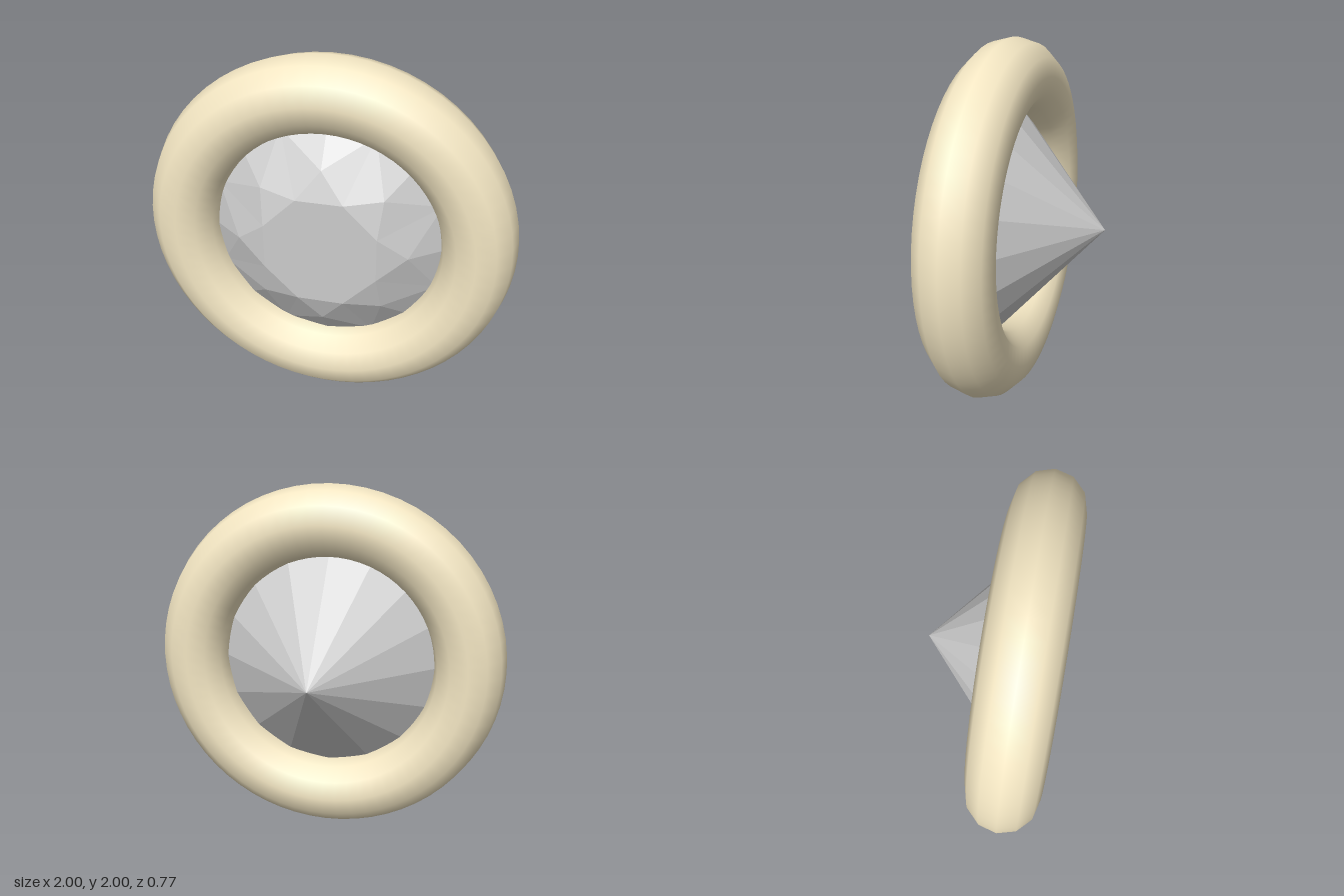
import * as THREE from 'three';

// Point on a ring around the z axis; step counts sixteenths of a turn
function ringPoint(radius, step, z) {
  const a = (step * Math.PI) / 8;
  return [radius * Math.cos(a), radius * Math.sin(a), z];
}

// Brilliant-cut stone: eight-sided table, crown facets, pointed back
function gemGeometry() {
  const positions = [];
  const tri = (...corners) => corners.forEach((c) => positions.push(...c));
  const table = (s) => ringPoint(0.325, s, 0.385);
  const star = (s) => ringPoint(0.455, s, 0.33);
  const girdle = (s) => ringPoint(0.65, s, 0.185);
  const centre = [0, 0, 0.385];
  const apex = [0, 0, -0.385];

  for (let s = 0; s < 16; s += 2) {
    // Table and star facet
    tri(centre, table(s - 1), table(s + 1));
    tri(table(s - 1), star(s), table(s + 1));
    // Kite facet, in two halves
    tri(table(s + 1), star(s), girdle(s + 1));
    tri(table(s + 1), girdle(s + 1), star(s + 2));
    // Outer crown facets and back facets
    for (const k of [s - 1, s]) {
      tri(star(s), girdle(k), girdle(k + 1));
      tri(apex, girdle(k + 1), girdle(k));
    }
  }

  const geometry = new THREE.BufferGeometry();
  geometry.setAttribute('position', new THREE.Float32BufferAttribute(positions, 3));
  geometry.computeVertexNormals();
  return geometry;
}

export function createModel() {
  const model = new THREE.Group();
  model.name = 'gemInRing';

  // Rounded ring surrounding the stone
  const ring = new THREE.Mesh(
    new THREE.TorusGeometry(0.8, 0.2, 12, 64),
    new THREE.MeshStandardMaterial({ color: 0xf2e5c2 })
  );
  ring.name = 'ring';
  ring.position.set(0, 1, 0.17);

  // Faceted stone
  const gem = new THREE.Mesh(
    gemGeometry(),
    new THREE.MeshStandardMaterial({ color: 0xcccccc, flatShading: true })
  );
  gem.name = 'gem';
  gem.position.y = 1;

  model.add(ring, gem);
  return model;
}
